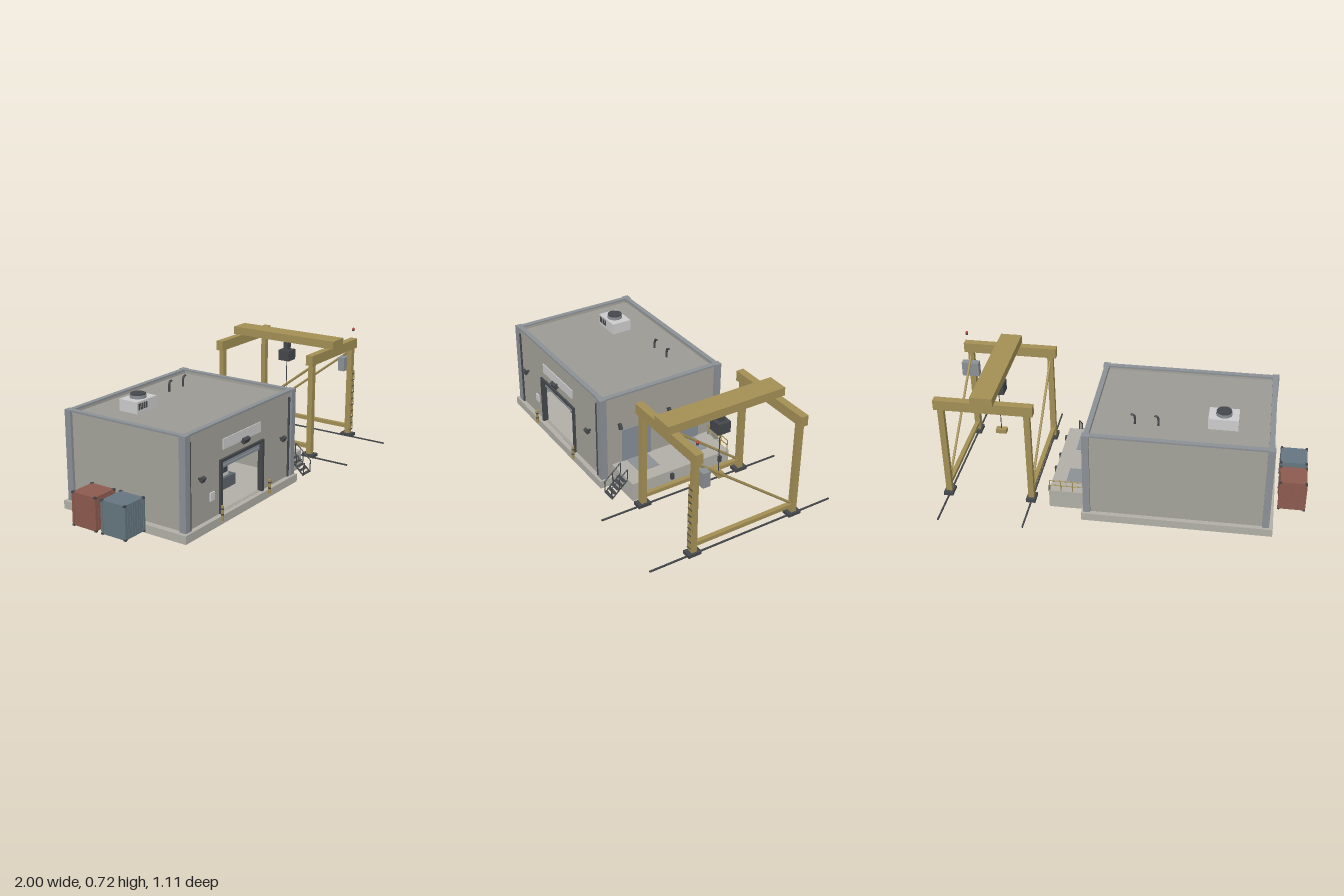
import * as THREE from 'three';

const mat = (color) => new THREE.MeshStandardMaterial({ color, side: THREE.DoubleSide });
const M = {
  grey: mat(0xcccccc), wall: mat(0xa3a199), base: mat(0xb0aea6), roof: mat(0x9c9a94),
  steel: mat(0x8b9096), slate: mat(0x858d96), dark: mat(0x44474b), yellow: mat(0xa38f55),
  red: mat(0x8c5a4e), blue: mat(0x65757f), beacon: mat(0xb04038), crate: mat(0x5d666e),
};

export function createModel() {
  const model = new THREE.Group();
  let parent = model;
  const group = (name) => {
    parent = new THREE.Group();
    parent.name = name;
    model.add(parent);
  };
  const add = (name, geo, m, x = 0, y = 0, z = 0) => {
    const mesh = new THREE.Mesh(geo, m);
    mesh.name = name;
    mesh.position.set(x, y, z);
    parent.add(mesh);
    return mesh;
  };
  // Box given by its limits on each axis
  const box = (name, m, x0, x1, y0, y1, z0, z1) => add(name,
    new THREE.BoxGeometry(x1 - x0, y1 - y0, z1 - z0), m, (x0 + x1) / 2, (y0 + y1) / 2, (z0 + z1) / 2);
  const cyl = (name, m, r, y0, y1, x, z, n = 16) =>
    add(name, new THREE.CylinderGeometry(r, r, y1 - y0, n), m, x, (y0 + y1) / 2, z);
  // Round or square bar between two points
  const bar = (name, m, a, b, r, n = 8) => {
    const p = new THREE.Vector3(...a), q = new THREE.Vector3(...b);
    const mesh = add(name, new THREE.CylinderGeometry(r, r, p.distanceTo(q), n), m);
    mesh.position.copy(p).lerp(q, 0.5);
    mesh.quaternion.setFromUnitVectors(new THREE.Vector3(0, 1, 0), q.sub(p).normalize());
    return mesh;
  };

  // Slab, walls and roof
  group('building');
  box('foundation', M.base, -0.83, 0.2, 0, 0.045, -0.395, 0.395);
  const front = new THREE.Shape([[-0.795, 0.045], [0.175, 0.045], [0.175, 0.53], [-0.795, 0.53]]
    .map((p) => new THREE.Vector2(...p)));
  front.holes.push(new THREE.Path([[-0.5, 0.046], [-0.5, 0.325], [-0.13, 0.325], [-0.13, 0.046]]
    .map((p) => new THREE.Vector2(...p))));
  add('frontWall', new THREE.ExtrudeGeometry(front, { depth: 0.02, bevelEnabled: false }), M.wall, 0, 0, 0.348);
  box('backWall', M.wall, -0.795, 0.175, 0.045, 0.53, -0.368, -0.348);
  box('leftWall', M.wall, 0.155, 0.175, 0.045, 0.53, -0.348, 0.348);
  box('rightWall', M.wall, -0.795, -0.775, 0.045, 0.53, -0.348, 0.348);
  box('roof', M.roof, -0.775, 0.155, 0.5, 0.515, -0.348, 0.348);
  for (const s of [-1, 1]) {
    box('parapetCap', M.steel, -0.8, 0.18, 0.528, 0.538, s * 0.36 - 0.014, s * 0.36 + 0.014);
    const x = -0.31 + s * 0.479;
    box('parapetCap', M.steel, x - 0.014, x + 0.014, 0.528, 0.538, -0.346, 0.346);
    for (const t of [-1, 1]) {
      const cx = -0.31 + s * 0.481;
      box('cornerColumn', M.steel, cx - 0.019, cx + 0.019, 0.045, 0.539, t * 0.362 - 0.019, t * 0.362 + 0.019);
    }
    bar('downpipe', M.dark, [-0.315 + s * 0.45, 0.045, 0.374], [-0.315 + s * 0.45, 0.5, 0.374], 0.006);
  }

  // Roller door, sign panel and wall fittings
  group('entrance');
  for (const x of [-0.505, -0.125]) box('doorJamb', M.dark, x - 0.008, x + 0.008, 0.045, 0.335, 0.35, 0.38);
  box('doorHead', M.dark, -0.513, -0.117, 0.32, 0.335, 0.35, 0.38);
  for (let i = 0; i < 3; i++) box('rollerSlat', M.slate, -0.5, -0.13, 0.277 + i * 0.016, 0.291 + i * 0.016, 0.35, 0.36);
  box('signPanel', M.grey, -0.485, -0.14, 0.38, 0.436, 0.368, 0.373);
  box('wallPanel', M.grey, -0.595, -0.56, 0.14, 0.185, 0.368, 0.375);
  const lamp = (x, y, z, w, turn) => {
    const l = box('wallLamp', M.dark, x - w / 2, x + w / 2, y - 0.014, y + 0.014, z - 0.01, z + 0.01);
    l.rotation.x = 0.5;
    box('lampArm', M.dark, x - 0.005, x + 0.005, y - 0.005, y + 0.005, z - 0.026, z);
  };
  lamp(-0.312, 0.387, 0.392, 0.05);
  for (const x of [-0.685, 0.055]) lamp(x, 0.29, 0.392, 0.024);
  for (const x of [-0.535, -0.095]) {
    cyl('bollard', M.yellow, 0.008, 0.025, 0.105, x, 0.403);
    for (const y of [0.055, 0.085]) cyl('bollardBand', M.dark, 0.0083, y, y + 0.008, x, 0.403);
  }

  // Work benches inside the hall
  group('workshop');
  for (const s of [-1, 1]) {
    const x = -0.312 + s * 0.122;
    box('workBench', M.crate, x - 0.068, x + 0.068, 0.045, 0.108, 0.1, 0.2);
    box('machine', M.grey, x - 0.03, x + 0.03, 0.108, 0.17, 0.12, 0.18);
    box('machineScreen', M.dark, x - 0.018, x + 0.018, 0.13, 0.16, 0.18, 0.184);
    box('wallBoard', M.grey, x - 0.045, x + 0.045, 0.2, 0.235, -0.348, -0.34);
    cyl('toolPost', M.dark, 0.004, 0.045, 0.2, -0.312 + s * 0.07, 0.15, 8);
  }

  // Roof fan unit and vent pipes
  group('roofEquipment');
  box('fanUnit', M.grey, -0.61, -0.45, 0.515, 0.578, -0.187, -0.07);
  cyl('fanDrum', M.steel, 0.043, 0.578, 0.595, -0.53, -0.128, 24);
  cyl('fanCap', M.dark, 0.04, 0.595, 0.601, -0.53, -0.128, 24);
  for (let i = 0; i < 5; i++) box('louvre', M.dark, -0.6 + i * 0.015, -0.592 + i * 0.015, 0.535, 0.568, -0.07, -0.067);
  for (const x of [-0.19, -0.065]) {
    const path = new THREE.CatmullRomCurve3([[0, 0.515], [0, 0.55], [0.005, 0.568], [0.022, 0.574]]
      .map(([dx, y]) => new THREE.Vector3(x + dx, y, -0.19)));
    add('ventPipe', new THREE.TubeGeometry(path, 16, 0.006, 8), M.dark);
  }

  // Loading dock with doors, bumpers, railing and stairs
  group('loadingDock');
  box('dockPlatform', M.base, 0.17, 0.39, 0.004, 0.112, -0.307, 0.307);
  for (const s of [-1, 1]) {
    box('dockDoor', M.slate, 0.174, 0.181, 0.113, 0.312, s * 0.155 - 0.09, s * 0.155 + 0.09);
    box('dockPlate', M.steel, 0.18, 0.312, 0.11, 0.115, s * 0.155 - 0.062, s * 0.155 + 0.062);
    for (const z of [0.065, 0.243]) box('bumper', M.dark, 0.388, 0.406, 0.063, 0.097, s * z - 0.009, s * z + 0.009);
  }
  for (const z of [0.265, -0.042]) {
    const l = box('dockLamp', M.dark, 0.185, 0.206, 0.335, 0.368, z - 0.008, z + 0.008);
    l.rotation.z = 0.4;
    box('lampArm', M.dark, 0.174, 0.195, 0.346, 0.354, z - 0.003, z + 0.003);
  }
  for (const x of [0.2, 0.26, 0.325, 0.386]) bar('railPost', M.yellow, [x, 0.11, -0.3], [x, 0.175, -0.3], 0.003);
  for (const y of [0.145, 0.175]) bar('guardRail', M.yellow, [0.2, y, -0.3], [0.386, y, -0.3], 0.003);
  for (let i = 0; i < 5; i++) {
    const z = 0.312 + i * 0.019, y = 0.1 - i * 0.019;
    box('stairTread', M.dark, 0.262, 0.33, y - 0.004, y, z, z + 0.019);
  }
  for (const x of [0.26, 0.332]) {
    bar('stairStringer', M.dark, [x, 0.105, 0.305], [x, 0.016, 0.402], 0.005, 4);
    bar('stairHandrail', M.dark, [x, 0.172, 0.305], [x, 0.085, 0.404], 0.003);
    for (const t of [0, 0.5, 1]) {
      bar('stairPost', M.dark, [x, 0.105 - t * 0.089, 0.305 + t * 0.097], [x, 0.172 - t * 0.087, 0.305 + t * 0.098], 0.003);
    }
  }

  // Gantry crane
  group('gantryCrane');
  for (const x of [0.488, 0.95]) {
    box('groundRail', M.dark, x - 0.004, x + 0.004, 0.038, 0.045, -0.553, 0.553);
    box('sillBeam', M.yellow, x - 0.012, x + 0.012, 0.095, 0.117, -0.295, 0.295);
    bar('diagonalBrace', M.yellow, [x, 0.57, 0.29], [x, 0.118, -0.292], 0.007);
    for (const s of [-1, 1]) {
      const z = s * 0.307;
      box('leg', M.yellow, x - 0.016, x + 0.016, 0.06, 0.6, z - 0.015, z + 0.015);
      box('wheelBogie', M.dark, x - 0.026, x + 0.026, 0.046, 0.064, z - 0.037, z + 0.037);
      for (const d of [-0.024, 0.024]) {
        cyl('wheel', M.dark, 0.01, 0, 0.03, x, z + d).rotation.z = Math.PI / 2;
        parent.children.at(-1).position.y = 0.052;
      }
    }
  }
  for (const s of [-1, 1]) box('girder', M.yellow, 0.453, 0.985, 0.595, 0.652, s * 0.307 - 0.021, s * 0.307 + 0.021);
  box('bridgeBeam', M.yellow, 0.658, 0.778, 0.652, 0.698, -0.345, 0.345);
  box('hoistTrolley', M.dark, 0.68, 0.756, 0.53, 0.592, -0.036, 0.036);
  box('trolleyHanger', M.dark, 0.7, 0.736, 0.59, 0.655, -0.015, 0.015);
  bar('hoistCable', M.dark, [0.718, 0.28, 0], [0.718, 0.535, 0], 0.0025);
  box('hookBlock', M.yellow, 0.688, 0.748, 0.261, 0.285, -0.018, 0.018);
  box('controlCabin', M.steel, 0.9, 0.997, 0.46, 0.543, 0.25, 0.291);
  for (let i = 0; i < 10; i++) {
    const y = 0.09 + i * 0.039;
    bar('ladderRung', M.dark, [0.934, y, 0.328], [0.966, y, 0.328], 0.003);
  }
  for (const x of [0.934, 0.966]) bar('ladderRail', M.yellow, [x, 0.08, 0.326], [x, 0.46, 0.326], 0.003);
  cyl('beaconBase', M.dark, 0.007, 0.698, 0.705, 0.968, 0.309);
  add('beacon', new THREE.SphereGeometry(0.008, 16, 10), M.beacon, 0.968, 0.71, 0.309);

  // Two storage containers beside the hall
  for (const [name, m, zc] of [['blueContainer', M.blue, 0.086], ['redContainer', M.red, -0.101]]) {
    group(name);
    box('containerBody', m, -0.997, -0.852, 0.022, 0.2, zc - 0.073, zc + 0.073);
    for (const x of [-0.994, -0.855]) {
      for (const s of [-1, 1]) {
        const z = zc + s * 0.071;
        box('cornerPost', m, x - 0.006, x + 0.006, 0.02, 0.202, z - 0.006, z + 0.006);
        for (const y of [0.024, 0.198]) box('cornerCasting', M.dark, x - 0.0065, x + 0.0065, y - 0.005, y + 0.005, z - 0.0065, z + 0.0065);
      }
    }
    for (let i = 0; i < 7; i++) {
      const x = -0.977 + i * 0.0175;
      box('sideRib', m, x, x + 0.008, 0.032, 0.19, zc - 0.0755, zc + 0.0755);
    }
  }
  return model;
}
